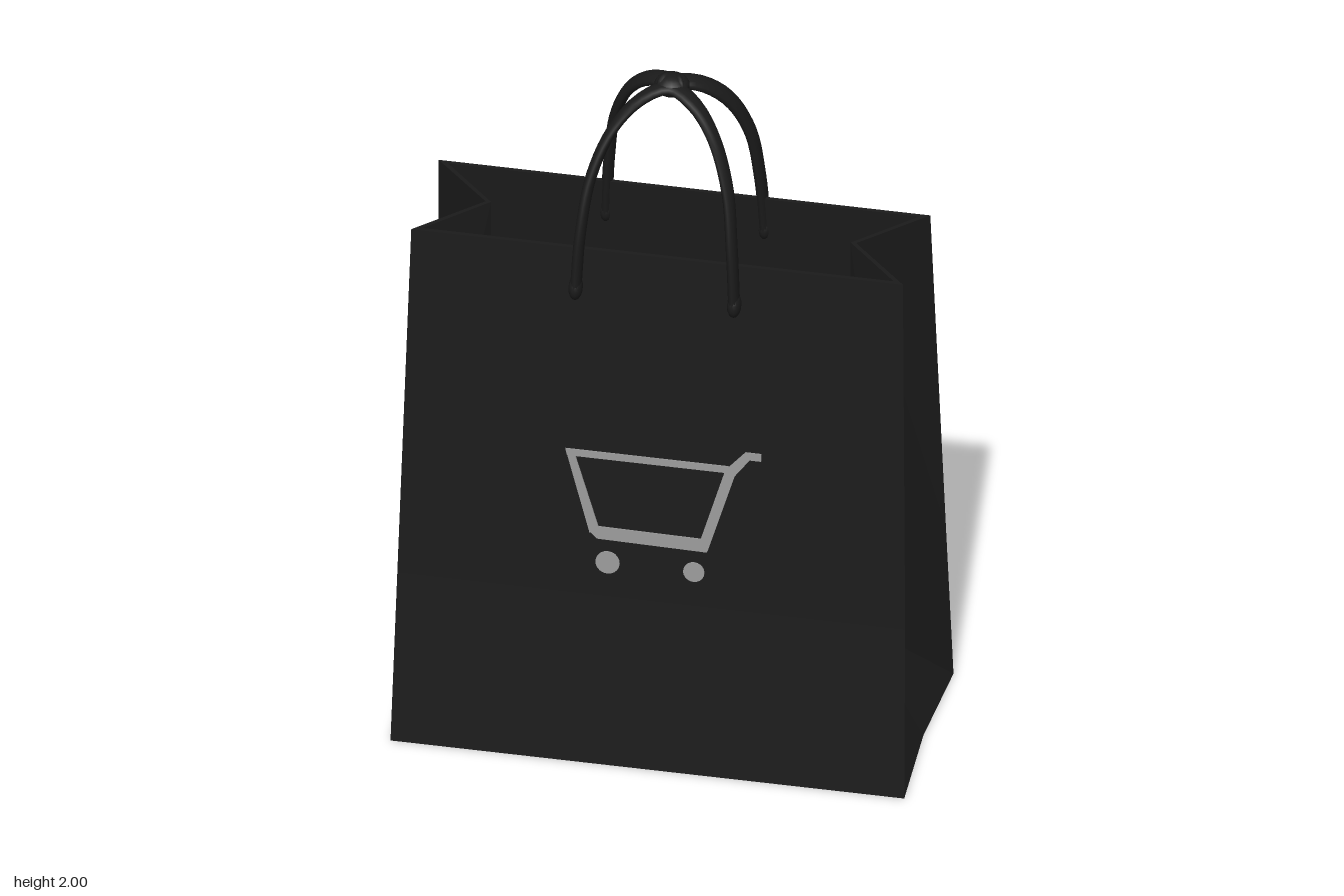
import * as THREE from 'three';

const paper = new THREE.MeshStandardMaterial({ color: 0x1b1b1b, side: THREE.DoubleSide });
paper.name = 'black paper';
const print = new THREE.MeshStandardMaterial({ color: 0x999999 });
print.name = 'grey print';

const V = (x, y, z) => new THREE.Vector3(x, y, z);

function add(parent, name, geometry, material) {
  const mesh = new THREE.Mesh(geometry, material);
  mesh.name = name;
  parent.add(mesh);
  return mesh;
}

// Flat-faced geometry from convex polygons, each split as a fan
function facets(polys) {
  const pts = [];
  for (const p of polys)
    for (let i = 1; i < p.length - 1; i++) pts.push(p[0], p[i], p[i + 1]);
  const g = new THREE.BufferGeometry().setFromPoints(pts);
  g.computeVertexNormals();
  return g;
}

const mirror = p => p.map(v => V(-v.x, v.y, v.z)).reverse();

// Half outline at one height: front corner, gusset crease, back corner
const half = (y, x, front, back, crease, creaseZ) => [V(x, y, front), V(crease, y, creaseZ), V(x, y, back)];

// One side of a skin: half walls, folded gusset with its bottom triangle, half floor
function halfSkin(b, m, t, apex) {
  const mid = v => V(0, v.y, v.z);
  return [
    [mid(b[0]), b[0], m[0], mid(m[0])], [mid(m[0]), m[0], t[0], mid(t[0])],
    [b[2], mid(b[2]), mid(m[2]), m[2]], [m[2], mid(m[2]), mid(t[2]), t[2]],
    [b[0], b[1], apex], [b[1], b[2], apex],
    [b[0], apex, m[0]], [m[0], apex, t[1]], [m[0], t[1], t[0]],
    [apex, b[2], m[2]], [apex, m[2], t[1]], [t[1], m[2], t[2]],
    [mid(b[0]), mid(b[2]), b[2], b[1], b[0]],
  ];
}

function bagBody() {
  const topOut = half(1.54, 0.67, 0.192, -0.161, 0.505, 0.015);
  const topIn = half(1.54, 0.642, 0.18, -0.149, 0.49, 0.015);
  const outer = halfSkin(half(0, 0.7, 0.318, -0.318, 0.685, 0),
    half(0.5, 0.692, 0.268, -0.258, 0, 0), topOut, V(0.505, 0.33, 0));
  const inner = halfSkin(half(0.012, 0.67, 0.305, -0.305, 0.655, 0),
    half(0.5, 0.664, 0.256, -0.246, 0, 0), topIn, V(0.49, 0.33, 0));
  // Paper edge around the opening
  const edgeOut = [V(0, 1.54, topOut[0].z), ...topOut, V(0, 1.54, topOut[2].z)];
  const edgeIn = [V(0, 1.54, topIn[0].z), ...topIn, V(0, 1.54, topIn[2].z)];
  const rim = [0, 1, 2, 3].map(i => [edgeOut[i], edgeOut[i + 1], edgeIn[i + 1], edgeIn[i]]);
  const polys = [...outer, ...inner.map(p => p.reverse()), ...rim];
  return facets([...polys, ...polys.map(mirror)]);
}

// Ribbon with an oval section, kept wide along z
function ribbon(points, wide, thin) {
  const curve = new THREE.CatmullRomCurve3(points);
  const n = 48, m = 12, pos = [], idx = [];
  for (let i = 0; i <= n; i++) {
    const p = curve.getPointAt(i / n), T = curve.getTangentAt(i / n);
    const W = V(0, 0, 1).addScaledVector(T, -T.z).normalize();
    const N = T.clone().cross(W);
    for (let k = 0; k < m; k++) {
      const a = (k / m) * Math.PI * 2;
      const q = p.clone().addScaledVector(W, Math.cos(a) * wide).addScaledVector(N, Math.sin(a) * thin);
      pos.push(q.x, q.y, q.z);
      if (i < n) {
        const c = i * m + k, d = i * m + (k + 1) % m;
        idx.push(c, c + m, d, d, c + m, d + m);
      }
    }
  }
  const g = new THREE.BufferGeometry();
  g.setAttribute('position', new THREE.Float32BufferAttribute(pos, 3));
  g.setIndex(idx);
  g.computeVertexNormals();
  return g;
}

function handle(name, zs) {
  const group = new THREE.Group();
  group.name = name;
  const xs = [0.216, 0.206, 0.184, 0.135, 0.072], ys = [1.43, 1.6, 1.76, 1.88, 1.945];
  const side = s => xs.map((x, i) => V(s * x, ys[i], zs[i]));
  const path = [...side(-1), V(0, 1.968, zs[5]), ...side(1).reverse()];
  add(group, 'handleStrap', ribbon(path, 0.03, 0.015), paper);
  // Rounded ends against the wall
  for (const s of [-1, 1]) {
    const end = add(group, 'handleEnd', new THREE.SphereGeometry(1, 14, 10), paper);
    end.scale.set(0.019, 0.036, 0.031);
    end.position.set(s * 0.216, 1.434, zs[0]);
  }
  return group;
}

// Flat trolley pictogram made of thin plates
function cartPrint(name) {
  const group = new THREE.Group();
  group.name = name;
  const plate = (part, pts) => add(group, part, new THREE.ExtrudeGeometry(
    new THREE.Shape(pts.map(p => new THREE.Vector2(...p))), { depth: 0.004, bevelEnabled: false }), print);
  plate('cartRim', [[-0.235, 0.917], [0.2, 0.917], [0.205, 0.937], [-0.24, 0.937]]);
  plate('cartFrontBar', [[-0.235, 0.92], [-0.17, 0.69], [-0.143, 0.70], [-0.213, 0.92]]);
  plate('cartBase', [[-0.17, 0.695], [-0.15, 0.675], [0.15, 0.67], [0.16, 0.708], [-0.155, 0.712]]);
  plate('cartPushBar', [[0.13, 0.70], [0.152, 0.675], [0.222, 0.91], [0.262, 0.963], [0.293, 0.963],
    [0.293, 0.985], [0.25, 0.985], [0.196, 0.925]]);
  for (const [x, r] of [[-0.12, 0.033], [0.115, 0.029]]) {
    const wheel = add(group, 'cartWheel', new THREE.CylinderGeometry(r, r, 0.004, 20), print);
    wheel.rotation.x = Math.PI / 2;
    wheel.position.set(x, 0.606, 0.002);
  }
  return group;
}

export function createModel() {
  const model = new THREE.Group();
  model.name = 'shoppingBag';
  add(model, 'bagBody', bagBody(), paper);

  // Two handles leaning together over the opening
  model.add(handle('frontHandle', [0.22, 0.205, 0.16, 0.105, 0.055, 0.02]));
  model.add(handle('backHandle', [-0.18, -0.163, -0.137, -0.095, -0.052, -0.018]));

  // Knot joining the handles
  const knot = add(model, 'handleKnot', new THREE.SphereGeometry(1, 18, 12), paper);
  knot.scale.set(0.048, 0.031, 0.045);
  knot.position.set(0, 1.966, 0);
  for (const s of [-1, 1]) {
    const wrap = add(model, 'knotWrap', new THREE.TorusGeometry(0.025, 0.009, 8, 18), paper);
    wrap.position.set(s * 0.018, 1.966, 0);
    wrap.rotation.y = Math.PI / 2 + s * 0.5;
  }

  // Prints lying on the sloping front and back walls
  const front = cartPrint('frontCartPrint');
  front.position.z = 0.3055;
  front.rotation.x = -Math.atan(0.076 / 1.04);
  model.add(front);
  const back = new THREE.Group();
  back.name = 'backPrint';
  back.rotation.y = Math.PI;
  const cart = cartPrint('backCartPrint');
  cart.position.z = 0.3055;
  cart.rotation.x = -Math.atan(0.097 / 1.04);
  back.add(cart);
  model.add(back);
  return model;
}
